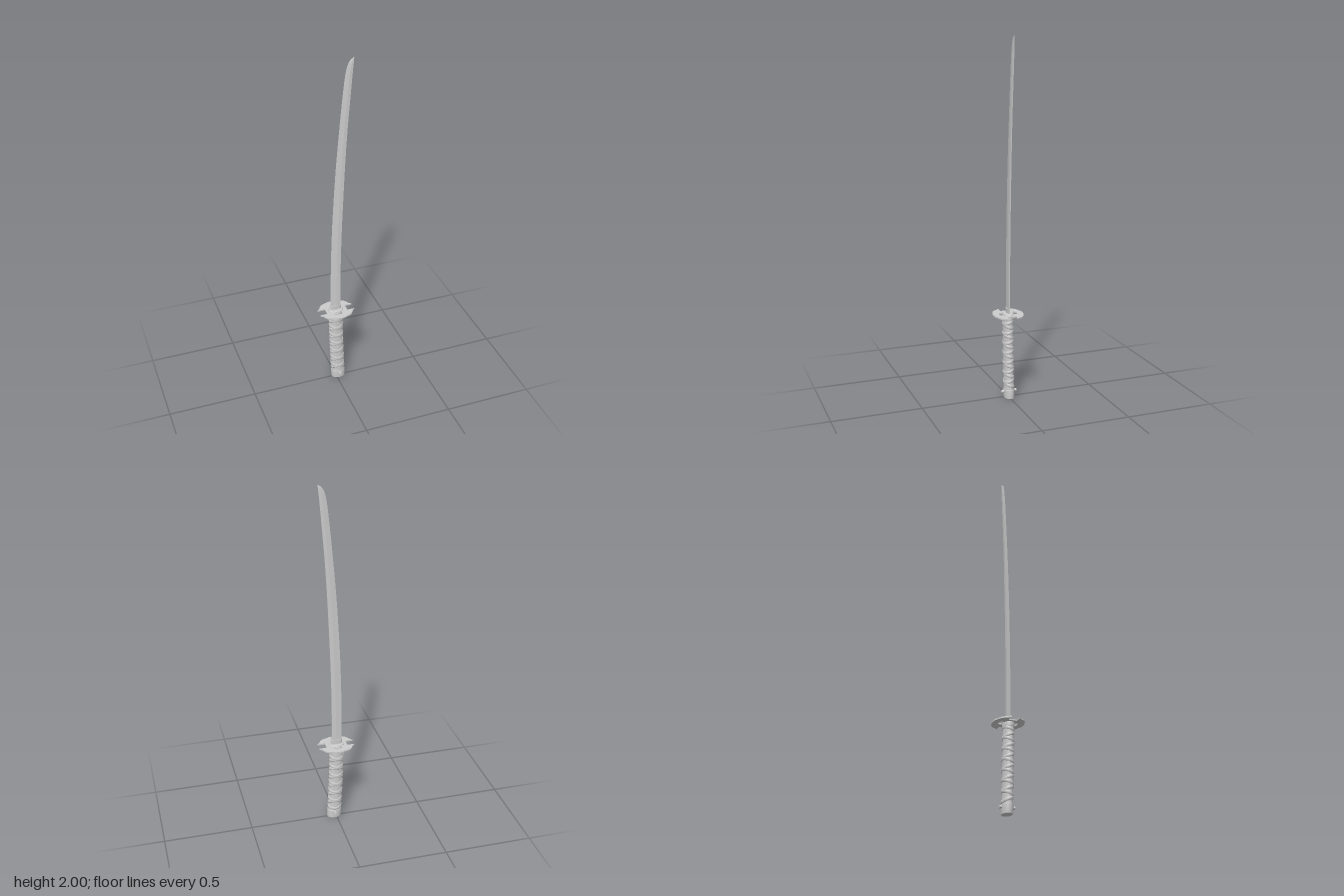
import * as THREE from 'three';

const grey = new THREE.MeshStandardMaterial({ color: 0xcccccc, side: THREE.DoubleSide });
const V = (x, y, z) => new THREE.Vector3(x, y, z);

// Skin a list of equal-sized closed rings, with end caps
function loft(rings, flat = false) {
  const n = rings[0].length, pos = [], idx = [];
  rings.forEach(r => r.forEach(p => pos.push(p.x, p.y, p.z)));
  for (let i = 0; i < rings.length - 1; i++) {
    for (let j = 0; j < n; j++) {
      const a = i * n + j, b = i * n + (j + 1) % n;
      idx.push(a, b, b + n, a, b + n, a + n);
    }
  }
  // Caps have their own vertices so their rims stay sharp
  [[rings[0], true], [rings[rings.length - 1], false]].forEach(([ring, bottom]) => {
    const base = pos.length / 3;
    ring.forEach(p => pos.push(p.x, p.y, p.z));
    for (let j = 1; j < n - 1; j++) {
      idx.push(base, base + (bottom ? j + 1 : j), base + (bottom ? j : j + 1));
    }
  });
  let g = new THREE.BufferGeometry();
  g.setAttribute('position', new THREE.Float32BufferAttribute(pos, 3));
  g.setIndex(idx);
  if (flat) g = g.toNonIndexed();
  g.computeVertexNormals();
  return g;
}

// Handle centre line bows towards +x at the pommel
const centreX = y => -0.003 + 0.016 * Math.pow(Math.max(0, 1 - y / 0.48), 1.5);

function ellipseRing(y, rx, rz, cx = centreX(y), n = 32) {
  return Array.from({ length: n }, (_, i) => {
    const t = (i / n) * Math.PI * 2;
    return V(cx + rx * Math.cos(t), y, -rz * Math.sin(t));
  });
}

// Stack of elliptical rings given as [y, rx, rz]
const stack = rows => loft(rows.map(([y, rx, rz]) => ellipseRing(y, rx, rz)));

// Wrap cord: flattened band spiralling round the grip, dir = +1 or -1
function wrapBand(dir, phase) {
  const y0 = 0.062, y1 = 0.455, pitch = 0.056, steps = 24;
  const total = Math.round((y1 - y0) / pitch * steps);
  const rings = [];
  for (let i = 0; i <= total; i++) {
    const t = phase + dir * i / steps * Math.PI * 2;
    const y = y0 + (i / steps) * pitch;
    const ring = [];
    for (let k = 0; k < 8; k++) {
      const a = k / 8 * Math.PI * 2;
      const out = 0.0035 * Math.cos(a), yy = y - dir * 0.0095 * Math.sin(a);
      ring.push(V(centreX(yy) + (0.0385 + out) * Math.cos(t), yy, -(0.0275 + out) * Math.sin(t)));
    }
    rings.push(ring);
  }
  return loft(rings);
}

function bladeGeometry() {
  // Each station: cutting edge x, height, spine x
  const path = new THREE.CatmullRomCurve3([
    V(-0.032, 0.47, 0.025), V(-0.031, 0.75, 0.026), V(-0.024, 1.0, 0.032), V(-0.014, 1.2, 0.04),
    V(-0.001, 1.4, 0.049), V(0.016, 1.6, 0.061), V(0.035, 1.8, 0.077), V(0.05, 1.92, 0.087),
    V(0.06, 1.96, 0.091), V(0.074, 1.985, 0.0935), V(0.0945, 2.0, 0.0955),
  ], false, 'centripetal');
  const rings = path.getPoints(60).map(p => {
    const [l, y, r] = [p.x, p.y, p.z];
    const w = r - l, th = 0.004 * Math.min(1, w / 0.035), ridge = l + w * 0.6;
    return [V(l, y, 0), V(ridge, y, th), V(r, y, th * 0.7), V(r, y, -th * 0.7), V(ridge, y, -th)];
  });
  return loft(rings, true);
}

function guardGeometry() {
  // One quarter of the outline, mirrored into the other three
  const quarter = [[0.06, 0], [0.06, 0.023], [0.103, 0.023], [0.095, 0.03], [0.088, 0.036], [0.083, 0.047],
    [0.077, 0.056], [0.068, 0.065], [0.055, 0.071], [0.042, 0.075], [0.03, 0.079], [0.027, 0.082], [0.014, 0.084]];
  const half = [...quarter, ...quarter.slice(1).reverse().map(([x, z]) => [-x, z])];
  const outline = [...half, ...half.map(([x, z]) => [-x, -z])];
  const shape = new THREE.Shape(outline.map(([x, z]) => new THREE.Vector2(x, z)));
  // Arched openings on both faces of the handle
  for (const s of [1, -1]) {
    const hole = new THREE.Path();
    hole.moveTo(-0.022, s * 0.026);
    hole.lineTo(-0.022, s * 0.046);
    hole.quadraticCurveTo(0, s * 0.056, 0.022, s * 0.046);
    hole.lineTo(0.022, s * 0.026);
    hole.closePath();
    shape.holes.push(hole);
  }
  return new THREE.ExtrudeGeometry(shape, { depth: 0.008, bevelEnabled: false, curveSegments: 10 })
    .rotateX(Math.PI / 2).translate(0, 0.484, 0);
}

export function createModel() {
  const sword = new THREE.Group();
  sword.name = 'sword';
  const add = (name, geometry) => {
    const mesh = new THREE.Mesh(geometry, grey);
    mesh.name = name;
    sword.add(mesh);
    return mesh;
  };

  add('blade', bladeGeometry());
  add('guard', guardGeometry());

  // Collars above and below the guard, and the sleeve at the blade root
  add('upperCollar', stack([[0.482, 0.043, 0.03], [0.487, 0.043, 0.03], [0.489, 0.04, 0.027]]));
  add('lowerCollar', stack([[0.453, 0.041, 0.029], [0.455, 0.043, 0.031], [0.476, 0.043, 0.031], [0.478, 0.041, 0.029]]));
  add('bladeSleeve', loft([0.485, 0.515].map(y => ellipseRing(y, 0.032, 0.007, -0.002, 16))));

  // Grip core and crossed wrapping
  add('gripCore', loft(Array.from({ length: 21 }, (_, i) => ellipseRing(0.03 + i * 0.0215, 0.0385, 0.0275))));
  add('wrapBandLeft', wrapBand(1, Math.PI / 2));
  add('wrapBandRight', wrapBand(-1, Math.PI / 2));

  // Pommel cap
  add('pommelCap', stack([[0, 0.038, 0.026], [0.003, 0.041, 0.029], [0.048, 0.042, 0.03], [0.052, 0.04, 0.028]]));

  // Cord eyelets on both faces of the pommel
  const ring = [[0.004, 0], [0.0085, 0], [0.0085, 0.016], [0.004, 0.016], [0.004, 0]]
    .map(([r, h]) => new THREE.Vector2(r, h));
  for (const s of [1, -1]) {
    const eyelet = add(s > 0 ? 'frontEyelet' : 'backEyelet',
      new THREE.LatheGeometry(ring, 16).toNonIndexed());
    eyelet.geometry.computeVertexNormals();
    eyelet.rotation.x = s * Math.PI / 2;
    eyelet.position.set(0.0135, 0.038, s * 0.027);
  }
  return sword;
}
